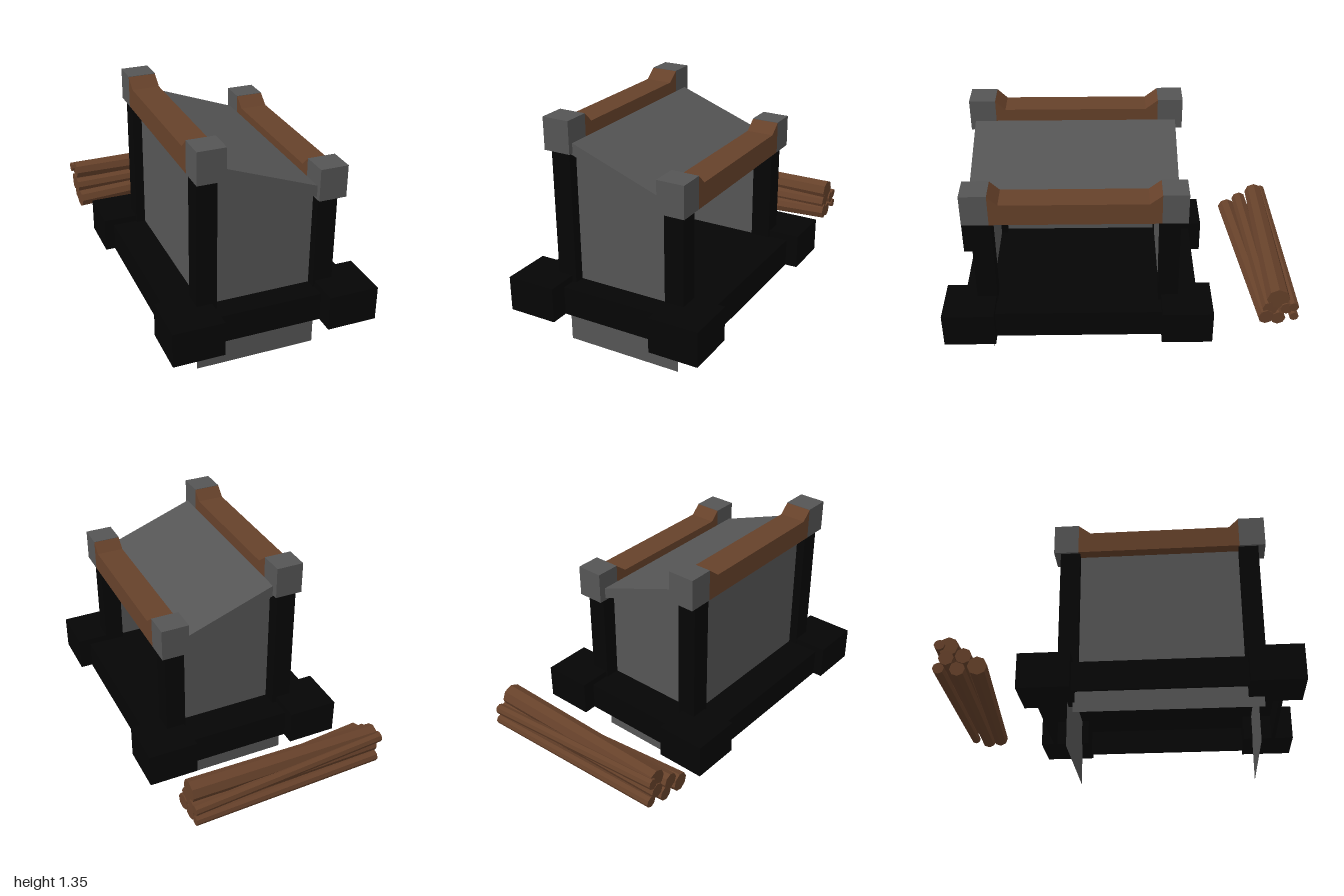
import * as THREE from 'three';

export function createModel() {
  const model = new THREE.Group();
  const paint = (name, color) => {
    const m = new THREE.MeshStandardMaterial({ color });
    m.name = name;
    return m;
  };
  const stone = paint('grey stone', 0x555555);
  const iron = paint('black iron', 0x050505);
  const wood = paint('brown wood', 0x66412a);
  stone.side = THREE.DoubleSide;
  wood.flatShading = true;

  const add = (name, geometry, material) => {
    const mesh = new THREE.Mesh(geometry, material);
    mesh.name = name;
    model.add(mesh);
    return mesh;
  };
  // Box given by its low and high corner on each axis
  const box = (name, material, x0, x1, y0, y1, z0, z1) =>
    add(name, new THREE.BoxGeometry(x1 - x0, y1 - y0, z1 - z0), material)
      .position.set((x0 + x1) / 2, (y0 + y1) / 2, (z0 + z1) / 2);
  const extrude = (points, depth) => new THREE.ExtrudeGeometry(
    new THREE.Shape(points.map(([a, b]) => new THREE.Vector2(a, b))), { depth, bevelEnabled: false });

  // Base: shell open below, top slab and four corner blocks
  box('baseSlab', iron, -0.51, 0.53, 0.39, 0.41, -0.435, 0.895);
  box('baseSideRight', iron, -0.51, -0.49, 0.247, 0.39, -0.435, 0.895);
  box('baseSideLeft', iron, 0.51, 0.53, 0.247, 0.39, -0.435, 0.895);
  box('baseFront', iron, -0.49, 0.51, 0.247, 0.39, 0.875, 0.895);
  box('baseBack', iron, -0.49, 0.51, 0.247, 0.39, -0.435, -0.415);
  for (const [x0, x1] of [[-0.565, -0.28], [0.315, 0.6]])
    for (const [z0, z1] of [[-0.51, -0.225], [0.71, 1]])
      box('cornerBlock', iron, x0, x1, 0.247, 0.447, z0, z1);

  // Thin skirt plates below the base
  for (const [name, z] of [['frontSkirt', 0.762], ['backSkirt', -0.265]])
    add(name, new THREE.PlaneGeometry(0.695, 0.39), stone).position.set(0.0025, 0.195, z);
  const strip = add('skirtStrip', new THREE.PlaneGeometry(1.03, 0.2), stone);
  strip.rotation.y = Math.PI / 2;
  strip.position.set(-0.345, 0.29, 0.28);

  // Body: front, back and right walls, open on the low side
  for (const [name, z] of [['frontWall', 0.742], ['backWall', -0.235]]) {
    const wall = extrude([[-0.315, 0.41], [0.31, 0.41], [0.31, 0.98], [-0.315, 1.2]], 0.018);
    add(name, wall, stone).position.z = z;
  }
  box('rightWall', stone, -0.315, -0.297, 0.41, 1.19, -0.217, 0.742);

  // Overhanging slanted roof slab
  const roof = extrude([[-0.255, 1.17], [0.305, 0.966], [0.305, 1.03], [-0.255, 1.236]], 1.15);
  add('roof', roof, stone).position.z = -0.32;

  // Posts, caps and wooden rails on the tall and the low side
  const sides = [
    { post: [-0.367, -0.255], cap: [-0.38, -0.224], y: 1.17 },
    { post: [0.306, 0.418], cap: [0.29, 0.446], y: 0.957 },
  ];
  for (const { post, cap, y } of sides) {
    for (const [z0, z1] of [[-0.322, -0.21], [0.705, 0.817]])
      box('post', iron, ...post, 0.41, y, z0, z1);
    for (const [z0, z1] of [[-0.36, -0.218], [0.71, 0.858]])
      box('postCap', stone, ...cap, y, y + 0.18, z0, z1);
    // Rail profile in (-z, y), rising to the caps at both ends
    const rail = extrude([[-0.71, 0], [0.218, 0], [0.218, 0.178], [0.15, 0.125],
      [-0.655, 0.125], [-0.71, 0.178]], cap[1] - cap[0]);
    rail.rotateY(Math.PI / 2);
    add('rail', rail, wood).position.set(cap[0], y, 0);
  }

  // Bundle of logs: y, z, radius at the right end, then at the left end
  const logs = [
    [0.37, -0.712, 0.053, 0.37, -0.815, 0.045],
    [0.36, -0.82, 0.042, 0.355, -0.885, 0.042],
    [0.37, -0.925, 0.032, 0.372, -0.972, 0.027],
    [0.43, -0.79, 0.045, 0.425, -0.835, 0.045],
    [0.425, -0.885, 0.042, 0.43, -0.925, 0.036],
    [0.495, -0.88, 0.055, 0.492, -0.875, 0.065],
    [0.5, -0.925, 0.03, 0.44, -0.965, 0.03],
  ];
  logs.forEach(([y0, z0, r0, y1, z1, r1], i) => {
    const a = new THREE.Vector3(-0.595 + 0.008 * (i % 3), y0, z0);
    const b = new THREE.Vector3(0.535 - 0.008 * (i % 2), y1, z1);
    const dir = b.clone().sub(a);
    const log = add('log', new THREE.CylinderGeometry(r1, r0, dir.length(), 8), wood);
    log.position.copy(a).add(b).multiplyScalar(0.5);
    log.quaternion.setFromUnitVectors(new THREE.Vector3(0, 1, 0), dir.normalize());
  });

  return model;
}
